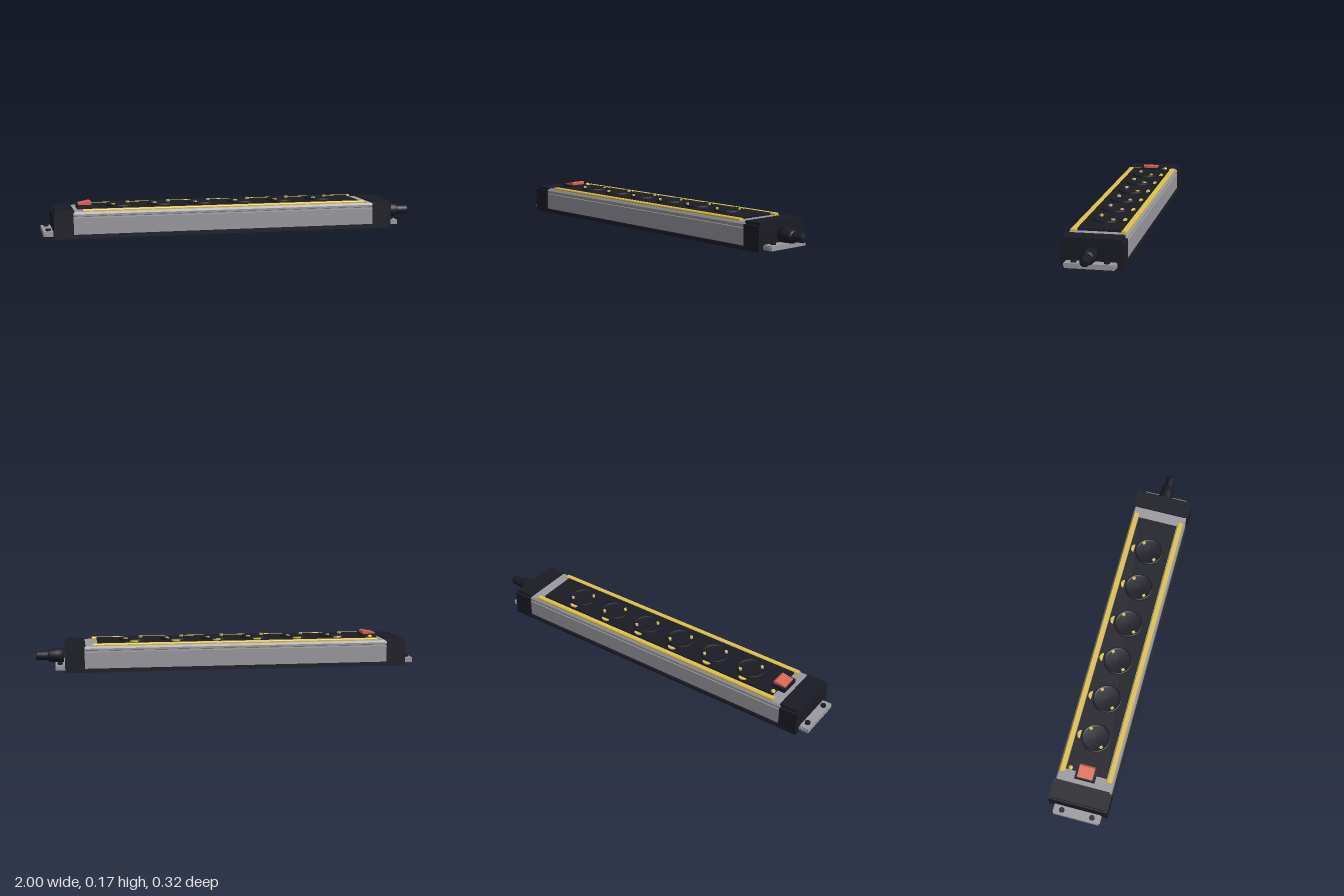
import * as THREE from 'three';

const paint = (name, color) => Object.assign(new THREE.MeshStandardMaterial({ color }), { name });

export function createModel() {
  const dark = paint('black plastic', 0x1b1b25);
  const metal = paint('aluminium grey', 0x9a9aa0);
  const yellow = paint('yellow trim', 0xdec24a);
  const brass = paint('brass contact', 0xd6bd6c);
  const red = paint('switch red', 0xdc6352);

  const model = new THREE.Group();
  model.name = 'powerStrip';

  const add = (parent, name, geometry, material, x = 0, y = 0, z = 0) => {
    const mesh = new THREE.Mesh(geometry, material);
    mesh.name = name;
    mesh.position.set(x, y, z);
    parent.add(mesh);
    return mesh;
  };
  // box given by its lower and upper limits
  const box = (parent, name, material, [x0, x1], [y0, y1], [z0, z1]) =>
    add(parent, name, new THREE.BoxGeometry(x1 - x0, y1 - y0, z1 - z0), material,
      (x0 + x1) / 2, (y0 + y1) / 2, (z0 + z1) / 2);
  // symmetric cross-section (z, y) drawn out along x
  const profileX = (half, x0, x1) => {
    const points = [...half, ...half.map(([z, y]) => [-z, y]).reverse()];
    const shape = new THREE.Shape(points.map(([z, y]) => new THREE.Vector2(z, y)));
    const geometry = new THREE.ExtrudeGeometry(shape, { depth: x1 - x0, bevelEnabled: false });
    return geometry.rotateY(Math.PI / 2).translate(x0, 0, 0);
  };

  // housing with a groove along each side
  add(model, 'housing', profileX([
    [0.146, 0.018], [0.146, 0.105], [0.142, 0.107], [0.142, 0.112],
    [0.146, 0.114], [0.146, 0.124], [0.139, 0.135],
  ], -0.85, 0.75), metal);
  box(model, 'base', dark, [-0.89, 0.79], [0, 0.02], [-0.154, 0.154]);
  box(model, 'baseFlange', dark, [-0.89, 0.78], [0.005, 0.017], [-0.159, 0.159]);

  // end caps, mounting brackets and their screws
  for (const side of [-1, 1]) {
    const end = new THREE.Group();
    end.name = side < 0 ? 'rightEnd' : 'leftEnd';
    end.position.x = side < 0 ? -0.9 : 0.8;
    model.add(end);
    const span = (a, b) => (side < 0 ? [-b, -a] : [a, b]);
    box(end, 'endCap', dark, [-0.05, 0.05], [0, 0.127], [-0.155, 0.155]);
    box(end, 'endCapTop', dark, span(-0.055, 0.042), [0.125, 0.142], [-0.141, 0.141]);
    box(end, 'bracket', metal, span(0.045, 0.1), [0.01, 0.035], [-0.12, 0.12]);
    box(end, 'bracketEdge', metal, span(0.045, 0.092), [0.015, 0.03], [-0.125, 0.125]);
    for (const z of [-0.08, 0.08])
      add(end, 'bracketScrew', new THREE.CylinderGeometry(0.014, 0.014, 0.012, 20), dark, side * 0.074, 0.039, z);
  }

  // cable gland and cable stub
  const glandProfile = [[0, 0], [0.037, 0], [0.037, 0.03], [0.034, 0.075], [0.026, 0.083],
    [0.025, 0.084], [0.024, 0.138], [0.02, 0.145], [0, 0.145]];
  const gland = new THREE.LatheGeometry(glandProfile.map(([r, y]) => new THREE.Vector2(r, y)), 28);
  add(model, 'cableGland', gland.rotateZ(-Math.PI / 2), dark, 0.855, 0.072, 0);

  // top panel and rounded yellow side strips
  box(model, 'panel', dark, [-0.78, 0.68], [0.13, 0.147], [-0.107, 0.107]);
  const strip = profileX([[0.0135, 0.132], [0.0135, 0.142], [0.0105, 0.1465]], -0.8, 0.705);
  for (const z of [-0.1245, 0.1245]) add(model, 'trimStrip', strip, yellow, 0, 0, z);

  // sockets: shallow dished disc, pin holes, earth contacts and a yellow tab
  const dish = new THREE.LatheGeometry([
    [0.075, 0.145], [0.075, 0.154], [0.072, 0.157], [0.068, 0.157],
    [0.061, 0.152], [0, 0.15],
  ].map(([r, y]) => new THREE.Vector2(r, y)), 36);
  const pin = new THREE.CylinderGeometry(0.007, 0.007, 0.002, 16);
  const contact = new THREE.BoxGeometry(0.016, 0.013, 0.013);
  const tabShape = new THREE.Shape().absarc(0, 0, 0.022, 0, Math.PI, false);
  const tab = new THREE.ExtrudeGeometry(tabShape, { depth: 0.007, bevelEnabled: false, curveSegments: 12 })
    .scale(1, 0.8, 1).rotateX(-Math.PI / 2);
  for (let i = 0; i < 6; i++) {
    const socket = new THREE.Group();
    socket.name = 'socket' + (i + 1);
    socket.position.x = -0.592 + i * 0.2165;
    model.add(socket);
    add(socket, 'socketDish', dish, dark);
    for (const s of [-1, 1]) {
      add(socket, 'pinHole', pin, dark, s * 0.021, 0.1505, s * 0.025);
      const clip = add(socket, 'earthContact', contact, brass, s * 0.042, 0.1555, -s * 0.038);
      clip.rotation.y = -Math.PI / 4;
    }
    add(socket, 'tab', tab, yellow, 0, 0.146, -0.082);
  }

  // rocker switch with bezel
  box(model, 'switchBezel', dark, [-0.82, -0.738], [0.134, 0.157], [-0.053, 0.053]);
  const rocker = new THREE.Shape([[-0.034, 0.15], [0.033, 0.15], [0.033, 0.17], [0.024, 0.175], [-0.002, 0.169], [-0.034, 0.163]]
    .map(([x, y]) => new THREE.Vector2(x, y)));
  const rockerGeometry = new THREE.ExtrudeGeometry(rocker, { depth: 0.08, bevelEnabled: false });
  add(model, 'switchRocker', rockerGeometry, red, -0.779, 0, -0.04);

  // indicator lamp
  add(model, 'indicatorLamp', new THREE.SphereGeometry(0.012, 16, 10), yellow, -0.772, 0.147, -0.085);

  return model;
}
